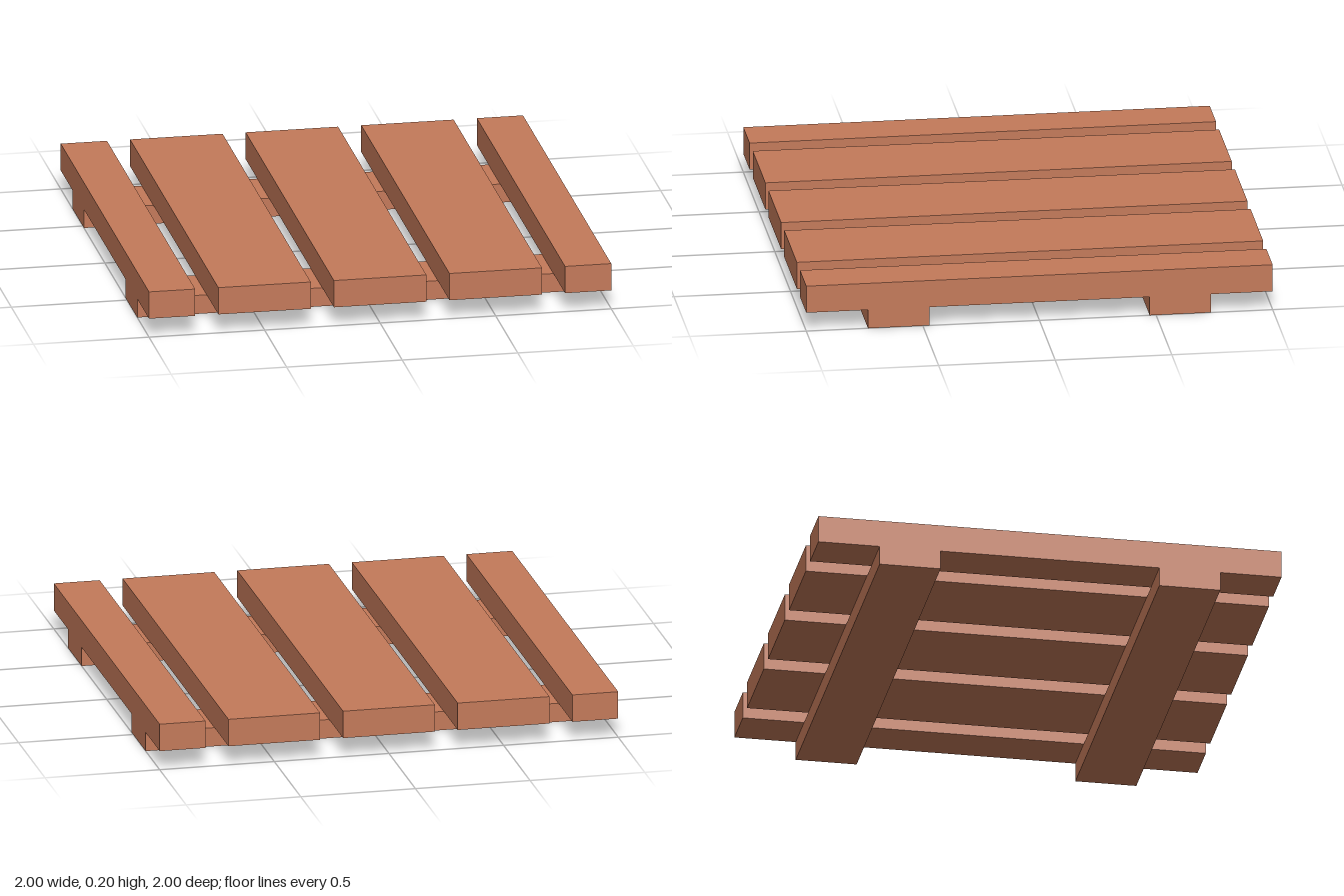
import * as THREE from 'three';

export function createModel() {
  const group = new THREE.Group();
  const wood = new THREE.MeshStandardMaterial({ color: 0xc47a5a });
  wood.name = 'wood';

  const battenHeight = 0.083;
  const plankHeight = 0.12;

  const addBoard = (name, size, position) => {
    const board = new THREE.Mesh(new THREE.BoxGeometry(...size), wood);
    board.name = name;
    board.position.set(...position);
    group.add(board);
  };

  // Planks running front to back: narrow at the edges, wide in between
  const planks = [[-0.9, 0.2], [-0.5, 0.4], [0, 0.4], [0.5, 0.4], [0.9, 0.2]];
  for (const [x, width] of planks) {
    addBoard('plank', [width, plankHeight, 2], [x, battenHeight + plankHeight / 2, 0]);
  }

  // Two cross battens underneath
  for (const side of [-1, 1]) {
    addBoard(side > 0 ? 'frontBatten' : 'backBatten',
      [2, battenHeight, 0.263], [0, battenHeight / 2, side * 0.604]);
  }

  return group;
}
